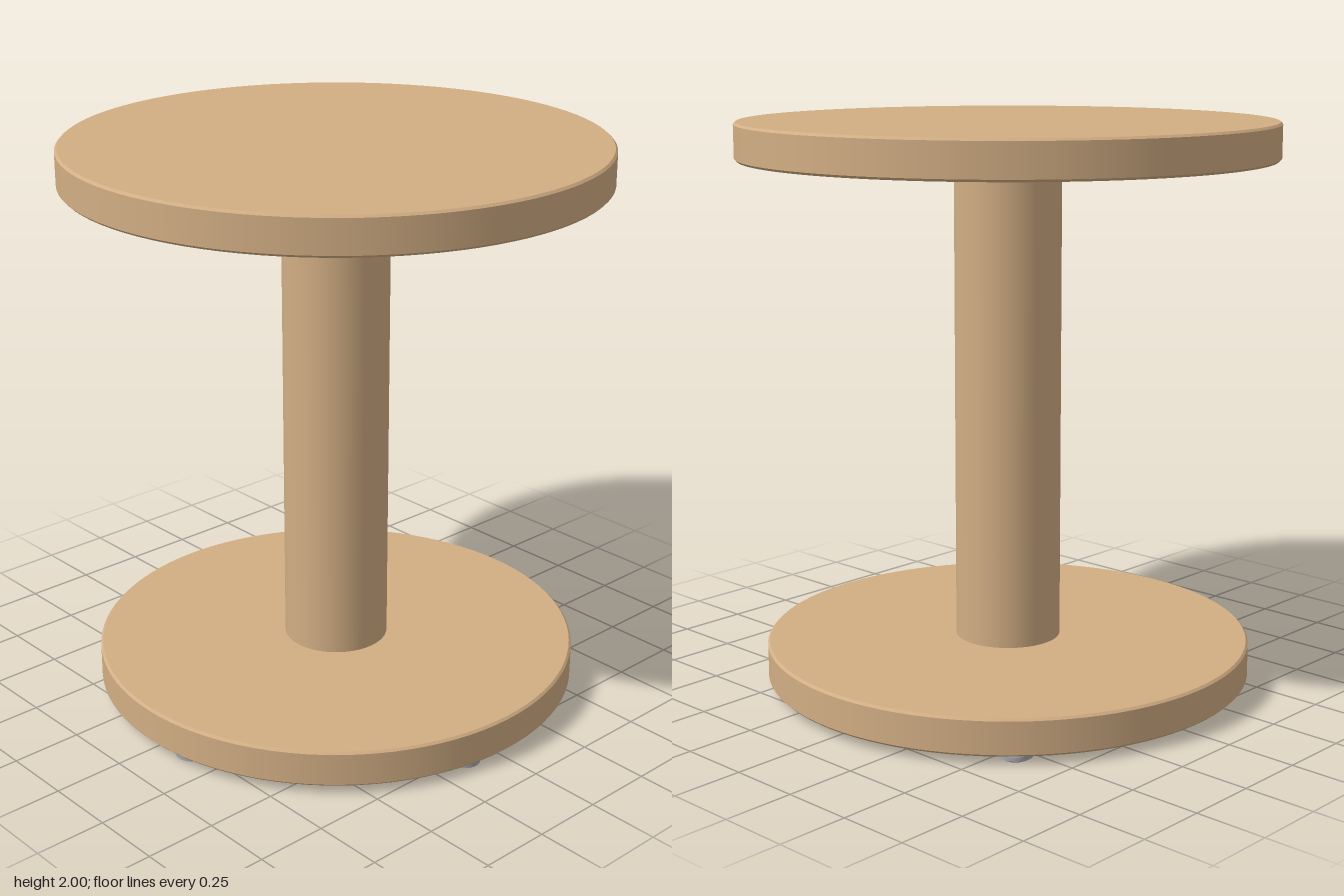
import * as THREE from 'three';

const mat = (name, color) => {
  const m = new THREE.MeshStandardMaterial({ color });
  m.name = name;
  return m;
};

// Smooth round solid with small chamfers; each profile segment keeps its own normals
function turned(r, y0, y1, b, bBottom = b) {
  const pts = [[0, y0], [r - bBottom, y0], [r, y0 + b], [r, y1 - b], [r - b, y1], [0, y1]];
  const profile = [];
  for (const [x, y] of pts) {
    // a doubled point next to each corner keeps the flats flat
    profile.push(new THREE.Vector2(x, y));
  }
  const group = new THREE.Group();
  for (let i = 0; i < profile.length - 1; i++) {
    group.add(new THREE.Mesh(new THREE.LatheGeometry([profile[i], profile[i + 1]], 96)));
  }
  return group;
}

function roundedSquare(h, r) {
  const s = new THREE.Shape();
  const c = h - r;
  s.absarc(c, c, r, 0, Math.PI / 2);
  s.absarc(-c, c, r, Math.PI / 2, Math.PI);
  s.absarc(-c, -c, r, Math.PI, Math.PI * 1.5);
  s.absarc(c, -c, r, Math.PI * 1.5, Math.PI * 2);
  s.closePath();
  return s;
}

export function createModel() {
  const model = new THREE.Group();
  model.name = 'pedestalTable';
  const wood = mat('wood', 0xd2ae84);
  const black = mat('blackMetal', 0x141414);
  const steel = mat('steel', 0xa4a6ae);

  const addTurned = (name, material, ...size) => {
    const part = turned(...size);
    part.name = name;
    part.children.forEach((m) => { m.material = material; m.name = name + 'Face'; });
    model.add(part);
    return part;
  };

  // Wooden discs and column
  addTurned('tableTop', wood, 0.935, 1.87, 2, 0.008);
  addTurned('baseDisc', wood, 0.865, 0.03, 0.16, 0.008);
  const column = new THREE.Mesh(new THREE.CylinderGeometry(0.187, 0.187, 1.71, 64, 1, true), wood);
  column.name = 'column';
  column.position.y = 1.015;
  model.add(column);

  // Mounting plate under the top, with a screw in each corner
  const mount = new THREE.Group();
  mount.name = 'mount';
  mount.rotation.y = THREE.MathUtils.degToRad(21);
  const plateShape = roundedSquare(0.27, 0.04);
  const plateGeo = new THREE.ExtrudeGeometry(plateShape, { depth: 0.01, bevelEnabled: false, curveSegments: 8 });
  plateGeo.rotateX(Math.PI / 2);
  const plate = new THREE.Mesh(plateGeo, black);
  plate.name = 'mountingPlate';
  plate.position.y = 1.87;
  mount.add(plate);
  for (const x of [-0.2, 0.2]) {
    for (const z of [-0.2, 0.2]) {
      const screw = new THREE.Mesh(new THREE.CylinderGeometry(0.026, 0.02, 0.005, 20), steel);
      screw.name = 'plateScrew';
      screw.position.set(x, 1.8585, z);
      mount.add(screw);
    }
  }
  model.add(mount);

  // Central bolt head under the base
  addTurned('centreBolt', steel, 0.062, 0.016, 0.031, 0.003);

  // Ring of five glides
  for (let i = 0; i < 5; i++) {
    const a = THREE.MathUtils.degToRad(27 + 72 * i);
    const foot = addTurned('foot', steel, 0.057, 0, 0.031, 0.008, 0.014);
    foot.position.set(0.79 * Math.cos(a), 0, 0.79 * Math.sin(a));
  }
  return model;
}
